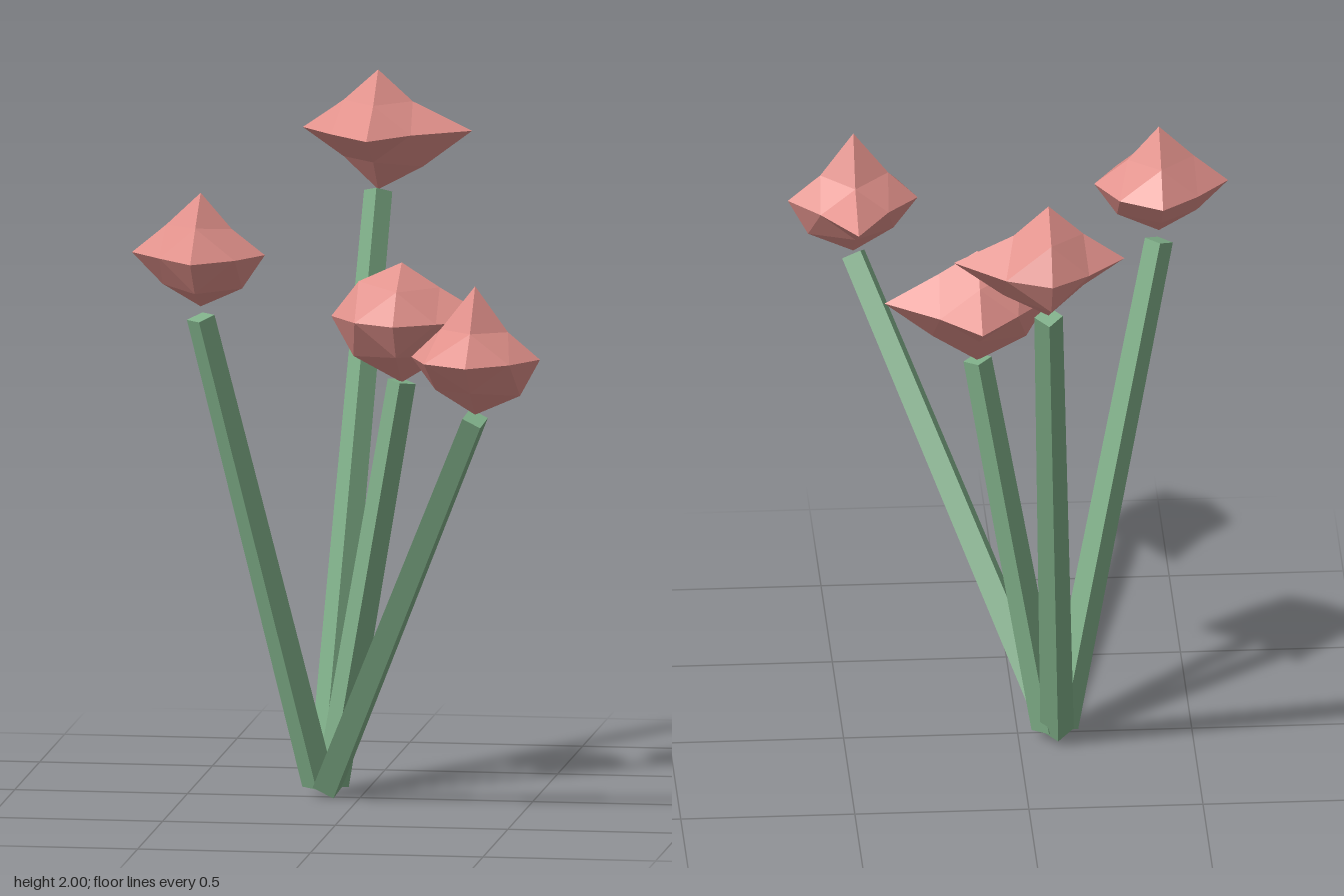
import * as THREE from 'three';

const green = new THREE.MeshStandardMaterial({ color: 0x7fae88, flatShading: true });
const pink = new THREE.MeshStandardMaterial({ color: 0xe0908a, flatShading: true });

// axes: bloom radii along +x -x +y -y +z -z
// xy, xz, zy: in-between points of each plane, for signs ++ -+ -- +-
const flowers = [
  { base: [-0.11, 0.03, -0.05], tip: [-0.045, 1.65, -0.675], center: 1.83, twist: 0,
    axes: [0.272, 0.218, 0.172, 0.176, 0.242, 0.185],
    xy: [0.10, 0.10, 0.10, 0.13], xz: [0.11, 0.12, 0.11, 0.13], zy: [0.10, 0.127, 0.127, 0.10] },
  { base: [-0.125, 0.03, -0.03], tip: [-0.423, 1.425, 0.268], center: 1.61, twist: 0,
    axes: [0.186, 0.199, 0.177, 0.153, 0.212, 0.19],
    xy: [0.09, 0.10, 0.11, 0.12], xz: [0.115, 0.105, 0.105, 0.12], zy: [0.11, 0.11, 0.10, 0.12] },
  { base: [-0.085, 0.03, -0.033], tip: [0.117, 1.205, -0.025], center: 1.39, twist: 0,
    axes: [0.267, 0.204, 0.16, 0.188, 0.184, 0.233],
    xy: [0.11, 0.125, 0.14, 0.13], xz: [0.115, 0.12, 0.11, 0.115], zy: [0.11, 0.105, 0.10, 0.12] },
  { base: [-0.095, 0.025, -0.005], tip: [0.429, 1.215, 0.665], center: 1.39, twist: 0.6,
    axes: [0.188, 0.185, 0.209, 0.164, 0.203, 0.248],
    xy: [0.095, 0.10, 0.115, 0.13], xz: [0.115, 0.13, 0.095, 0.10], zy: [0.105, 0.09, 0.10, 0.105] },
];

// Four-sided stem, slightly tapered, running from base to tip
function createStem({ base, tip, twist }) {
  const a = new THREE.Vector3(...base);
  const b = new THREE.Vector3(...tip);
  const dir = b.clone().sub(a);
  const geometry = new THREE.CylinderGeometry(0.041, 0.048, dir.length(), 4);
  geometry.rotateY(twist);
  const stem = new THREE.Mesh(geometry, green);
  stem.name = 'stem';
  stem.position.copy(a).add(b).multiplyScalar(0.5);
  stem.quaternion.setFromUnitVectors(new THREE.Vector3(0, 1, 0), dir.normalize());
  return stem;
}

// Faceted bloom: a once-divided octahedron whose points are pushed in or out
function createBloom({ axes, xy, xz, zy, tip, center }) {
  const geometry = new THREE.OctahedronGeometry(1, 1);
  const pos = geometry.attributes.position;
  const corner = (u, v) => (v > 0 ? (u > 0 ? 0 : 1) : (u > 0 ? 3 : 2));
  for (let i = 0; i < pos.count; i++) {
    const s = [pos.getX(i), pos.getY(i), pos.getZ(i)].map((c) => (Math.abs(c) < 0.1 ? 0 : Math.sign(c)));
    const [x, y, z] = s;
    let r;
    if (Math.abs(x) + Math.abs(y) + Math.abs(z) === 1) {
      const k = s.findIndex((c) => c !== 0);
      r = axes[k * 2 + (s[k] < 0 ? 1 : 0)];
      pos.setXYZ(i, x * r, y * r, z * r);
    } else {
      r = z === 0 ? xy[corner(x, y)] : y === 0 ? xz[corner(x, z)] : zy[corner(z, y)];
      pos.setXYZ(i, x * r, y * r * 0.82, z * r);
    }
  }
  geometry.computeVertexNormals();
  const bloom = new THREE.Mesh(geometry, pink);
  bloom.name = 'bloom';
  bloom.position.set(tip[0], center, tip[2]);
  return bloom;
}

export function createModel() {
  const model = new THREE.Group();
  model.name = 'flowerCluster';
  for (const data of flowers) {
    const flower = new THREE.Group();
    flower.name = 'flower';
    flower.add(createStem(data), createBloom(data));
    model.add(flower);
  }
  return model;
}
